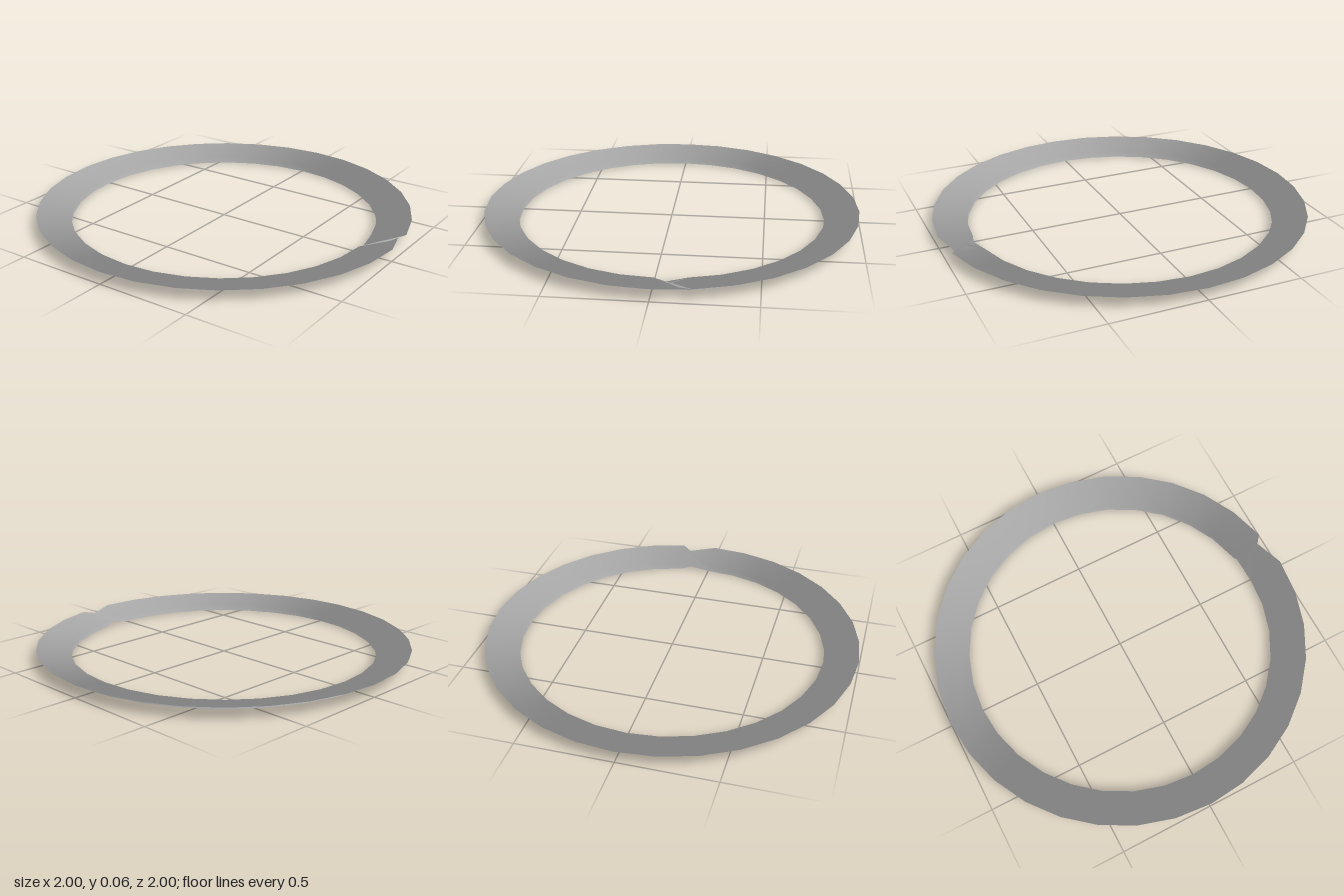
import * as THREE from 'three';

const SIDES = 32;
// Cross-section as [radius, height, normal lean]: base, rounded underside, rim, inner lip
const PROFILE = [
  [0.82, 0, -0.03],
  [0.905, 0.02, -0.03],
  [0.96, 0.041, -0.03],
  [1, 0.064, 0],
  [0.82, 0.032, 0.03],
];

// Closed ring whose cross-section slips by one point at the seam,
// leaving a small stepped notch on the left side.
// It is shaded like a plain cylinder, with normals pointing outward.
function slippedRing() {
  const count = PROFILE.length;
  const positions = [];
  const normals = [];
  const index = [];
  for (let j = 0; j < SIDES; j++) {
    const angle = (j / SIDES) * Math.PI * 2;
    const x = Math.cos(angle);
    const z = Math.sin(angle);
    for (const [radius, y, lean] of PROFILE) {
      positions.push(radius * x, y, radius * z);
      normals.push(x, lean, z);
    }
  }
  for (let j = 0; j < SIDES; j++) {
    const next = (j + 1) % SIDES;
    const slip = next === 0 ? 1 : 0;
    for (let k = 0; k < count; k++) {
      const a = j * count + k;
      const c = j * count + (k + 1) % count;
      const b = next * count + (k + slip) % count;
      const d = next * count + (k + 1 + slip) % count;
      index.push(a, c, d, a, d, b);
    }
  }
  const geometry = new THREE.BufferGeometry();
  geometry.setAttribute('position', new THREE.Float32BufferAttribute(positions, 3));
  geometry.setAttribute('normal', new THREE.Float32BufferAttribute(normals, 3));
  geometry.setIndex(index);
  geometry.normalizeNormals();
  return geometry;
}

export function createModel() {
  const grey = new THREE.MeshStandardMaterial({ color: 0xc0c0c0, side: THREE.DoubleSide });
  grey.name = 'grey';

  const ring = new THREE.Mesh(slippedRing(), grey);
  ring.name = 'ring';

  const model = new THREE.Group();
  model.name = 'notchedRing';
  model.add(ring);
  return model;
}
